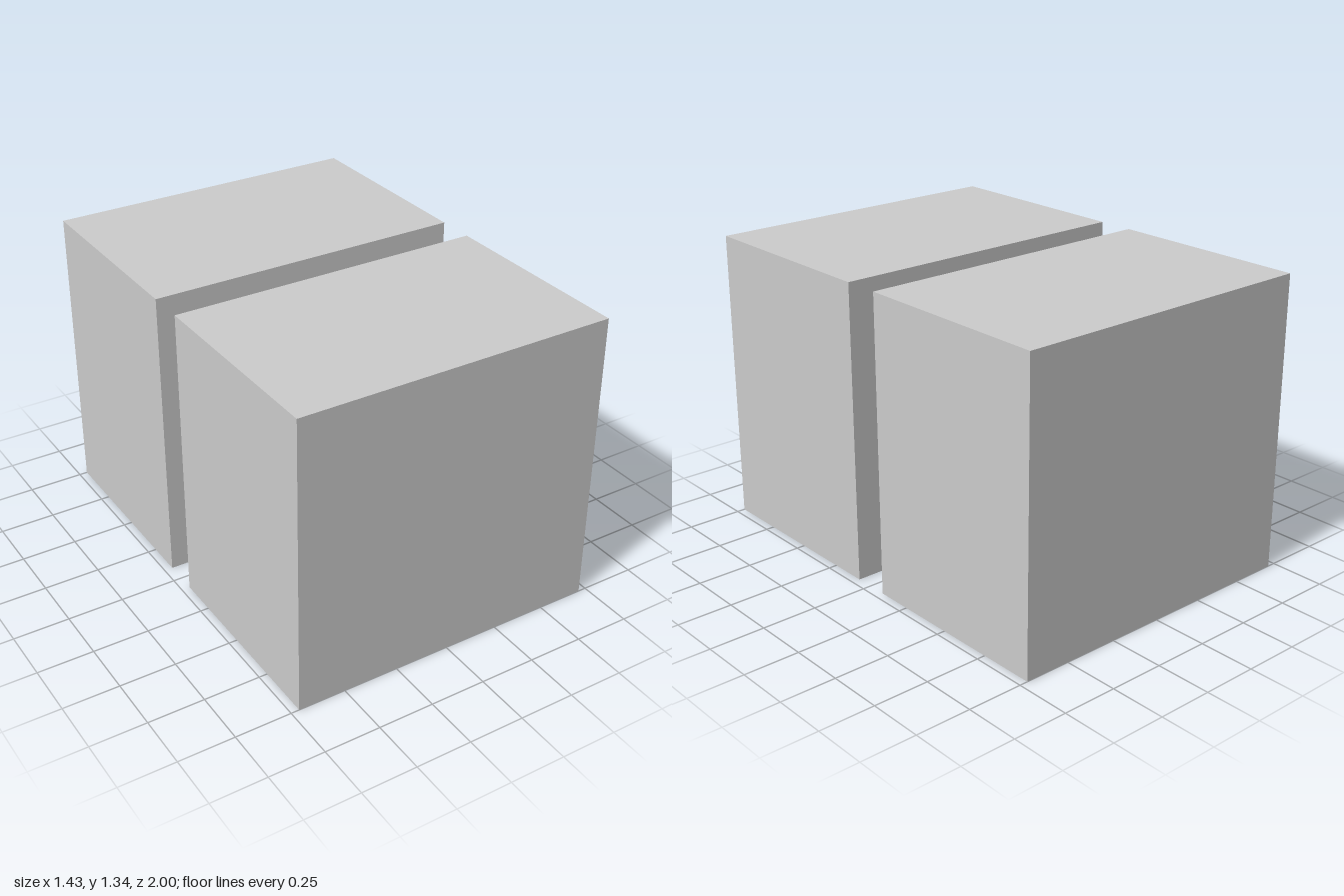
import * as THREE from 'three';

const WIDTH = 1.426;
const HEIGHT = 1.337;

export function createModel() {
  const group = new THREE.Group();
  group.name = 'blockPair';
  const material = new THREE.MeshStandardMaterial({ color: 0xcccccc, flatShading: true });

  // A block standing on the ground between two depths
  function addBlock(name, zBack, zFront) {
    const block = new THREE.Mesh(new THREE.BoxGeometry(WIDTH, HEIGHT, zFront - zBack), material);
    block.name = name;
    block.position.set(0, HEIGHT / 2, (zBack + zFront) / 2);
    group.add(block);
  }

  // Two blocks with a narrow gap between them
  addBlock('frontBlock', 0.078, 1);
  addBlock('backBlock', -1, -0.087);

  return group;
}
